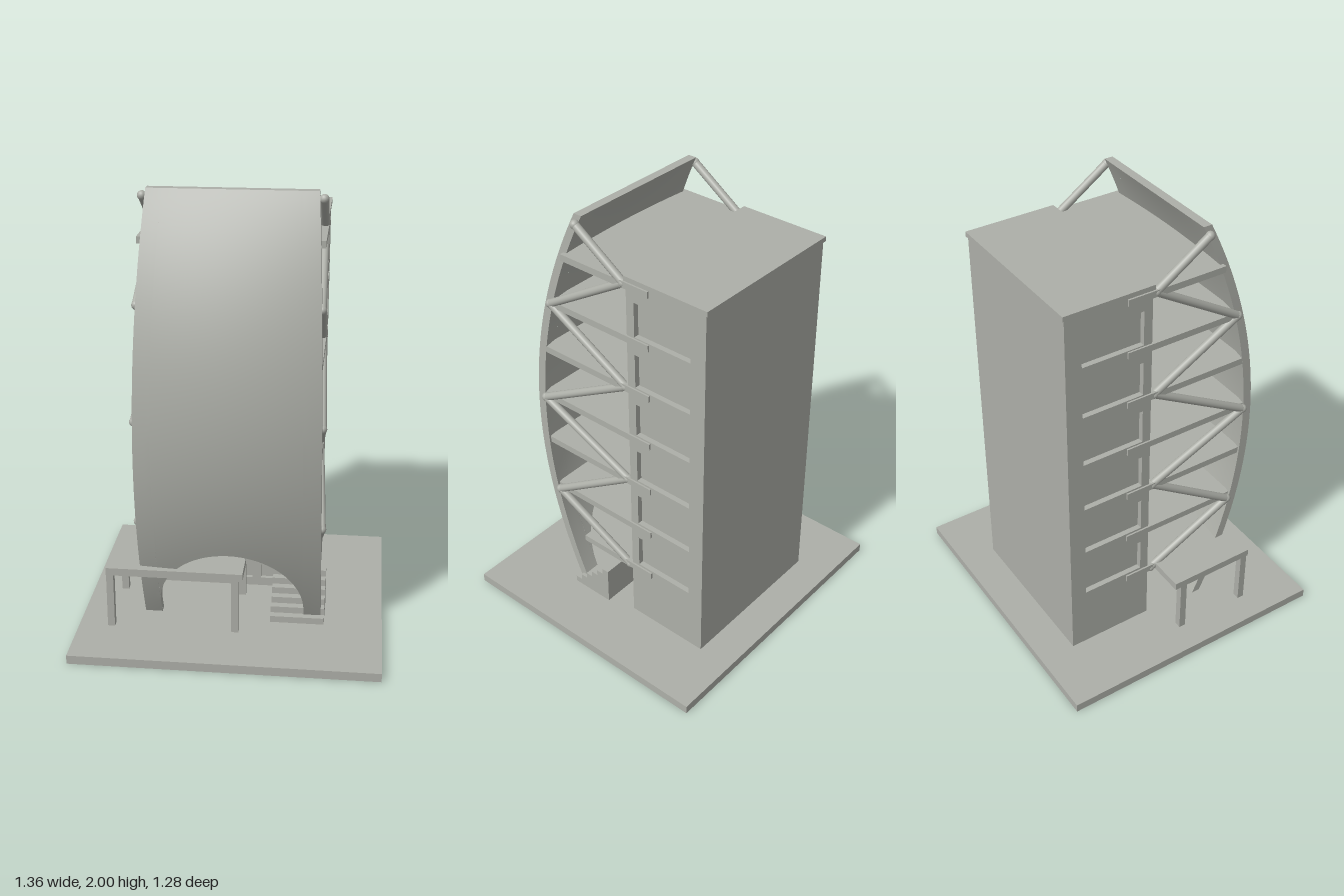
import * as THREE from 'three';
import { toCreasedNormals } from 'three/addons/utils/BufferGeometryUtils.js';

const concrete = new THREE.MeshStandardMaterial({ color: 0xadafa8 });
concrete.name = 'concrete grey';

const FLOOR = 0.04, TOP = 2, FLOOR_STEP = 0.246;

// curved shell: half width, depth of the front at the edge, and forward bulge
const bow = (y) => 1 - ((y - 1.02) / 0.98) ** 2;
const halfWidth = (y) => 0.402 - 0.047 * (y / 2) ** 3;
const edgeZ = (y) => 0.22 + 0.235 * bow(y);
const THICK = 0.04;

function add(group, name, geometry) {
  const mesh = new THREE.Mesh(geometry, concrete);
  mesh.name = name;
  group.add(mesh);
  return mesh;
}

// box given by its limits on each axis
function block(group, name, [x0, x1], [y0, y1], [z0, z1]) {
  const mesh = add(group, name, new THREE.BoxGeometry(x1 - x0, y1 - y0, z1 - z0));
  mesh.position.set((x0 + x1) / 2, (y0 + y1) / 2, (z0 + z1) / 2);
  return mesh;
}

function rectangle(Type, x0, x1, y0, y1) {
  return new Type([[x0, y0], [x1, y0], [x1, y1], [x0, y1]].map(([x, y]) => new THREE.Vector2(x, y)));
}

// flat wall with rectangular openings
function wallGeometry(outline, openings, depth) {
  const shape = rectangle(THREE.Shape, ...outline);
  shape.holes = openings.map((o) => rectangle(THREE.Path, ...o));
  return new THREE.ExtrudeGeometry(shape, { depth, bevelEnabled: false });
}

// round bar between two points
function bar(group, name, a, b, radius) {
  const mesh = add(group, name, new THREE.CylinderGeometry(radius, radius, a.distanceTo(b), 16));
  mesh.position.copy(a).lerp(b, 0.5);
  mesh.quaternion.setFromUnitVectors(new THREE.Vector3(0, 1, 0), b.clone().sub(a).normalize());
}

// doubly curved shell with an arched opening at its foot
function shellGeometry() {
  const R = 0.325, SPRING = 0.11, ROWS = 48, ARCH = 40;
  const columns = [];
  for (let i = 0; i <= 3; i++) columns.push([-0.402 + (0.402 - R) * i / 3, FLOOR]);
  for (let i = 0; i <= ARCH; i++) {
    const a = Math.PI * (1 - i / ARCH);
    columns.push([R * Math.cos(a), SPRING + R * Math.sin(a)]);
  }
  for (let i = 0; i <= 3; i++) columns.push([R + (0.402 - R) * i / 3, FLOOR]);

  const point = (c, r, back) => {
    const [u, foot] = columns[c];
    const y = foot + (TOP - foot) * r / ROWS;
    const s = u / 0.402;
    return [s * halfWidth(y), y, edgeZ(y) + 0.045 * bow(y) * (1 - s * s) - (back ? THICK : 0)];
  };
  const positions = [];
  const quad = (a, b, c, d) => positions.push(...a, ...b, ...c, ...a, ...c, ...d);
  const last = columns.length - 1;
  for (let c = 0; c < last; c++) {
    if (Math.abs(columns[c][0] - columns[c + 1][0]) > 1e-6) {
      for (let r = 0; r < ROWS; r++) {
        quad(point(c, r), point(c + 1, r), point(c + 1, r + 1), point(c, r + 1));
        quad(point(c + 1, r, 1), point(c, r, 1), point(c, r + 1, 1), point(c + 1, r + 1, 1));
      }
    }
    quad(point(c, 0, 1), point(c + 1, 0, 1), point(c + 1, 0), point(c, 0));
    quad(point(c, ROWS), point(c + 1, ROWS), point(c + 1, ROWS, 1), point(c, ROWS, 1));
  }
  for (let r = 0; r < ROWS; r++) {
    quad(point(last, r), point(last, r, 1), point(last, r + 1, 1), point(last, r + 1));
    quad(point(0, r, 1), point(0, r), point(0, r + 1), point(0, r + 1, 1));
  }
  const geometry = new THREE.BufferGeometry();
  geometry.setAttribute('position', new THREE.Float32BufferAttribute(positions, 3));
  return toCreasedNormals(geometry, 0.6);
}

export function createModel() {
  const model = new THREE.Group();
  model.name = 'towerBuilding';
  block(model, 'basePlate', [-0.68, 0.68], [0, FLOOR], [-0.64, 0.64]);

  // tower with recessed windows
  const tower = new THREE.Group();
  tower.name = 'tower';
  model.add(tower);
  const EAVES = 1.815;
  block(tower, 'towerCore', [-0.355, 0.355], [FLOOR, EAVES], [-0.475, -0.09]);
  const sideWindows = [];
  for (let i = 0; i < 6; i++) sideWindows.push([0.11, 0.4, 0.345 + i * 0.245, 0.505 + i * 0.245]);
  const sideWall = wallGeometry([0.07, 0.475, FLOOR, EAVES], sideWindows, 0.025);
  for (const x of [0.355, -0.38]) {
    const wall = add(tower, 'sideWall', sideWall);
    wall.rotation.y = Math.PI / 2;
    wall.position.x = x;
  }
  const lobbyWindows = [];
  for (let i = -2; i <= 2; i++) lobbyWindows.push([i * 0.147 - 0.043, i * 0.147 + 0.063, 0.08, 0.25]);
  const front = add(tower, 'frontWall', wallGeometry([-0.355, 0.355, FLOOR, EAVES], lobbyWindows, 0.02));
  front.position.z = -0.09;
  block(tower, 'roof', [-0.385, 0.385], [EAVES, 1.837], [-0.483, -0.062]);

  // floor slabs reaching from the tower to the shell
  for (let i = 0; i < 7; i++) {
    const y = 0.32 + i * FLOOR_STEP;
    const reach = i === 0 ? 0.22 : edgeZ(y) - THICK + 0.01;
    block(model, 'floorSlab', [-0.388, 0.388], [y - 0.015, y + 0.015], [-0.188, reach]);
  }

  add(model, 'curvedShell', shellGeometry());

  // zigzag bracing on both sides
  const nodes = [[0.2, 1.965], [-0.05, 1.795], [0.36, 1.545], [-0.05, 1.3],
    [0.41, 1.05], [-0.05, 0.81], [0.35, 0.56], [-0.05, 0.31]];
  for (const side of [1, -1]) {
    const truss = new THREE.Group();
    truss.name = side > 0 ? 'leftTruss' : 'rightTruss';
    model.add(truss);
    const points = nodes.map(([z, y], i) =>
      new THREE.Vector3(side * (i % 2 ? 0.372 : halfWidth(y) + (i ? 0 : 0.016)), y, z));
    points.forEach((p, i) => {
      add(truss, 'trussJoint', new THREE.SphereGeometry(0.02, 16, 10)).position.copy(p);
      if (i) bar(truss, 'trussBar', points[i - 1], p, 0.018);
    });
  }

  // entrance canopy on four posts
  const canopy = new THREE.Group();
  canopy.name = 'canopy';
  model.add(canopy);
  block(canopy, 'canopyRoof', [-0.55, 0.06], [0.3, 0.335], [-0.03, 0.38]);
  for (const x of [-0.55, 0.01]) {
    for (const z of [0, 0.34]) block(canopy, 'canopyPost', [x, x + 0.032], [FLOOR, 0.3], [z, z + 0.032]);
  }

  // entrance stairs rising towards the tower
  const stairs = new THREE.Group();
  stairs.name = 'stairs';
  model.add(stairs);
  for (let i = 0; i < 6; i++) {
    const z = 0.265 - i * 0.035;
    block(stairs, 'stairStep', [0.175, 0.418], [FLOOR, FLOOR + 0.03 * (i + 1)], [z - 0.035, z]);
  }
  return model;
}
